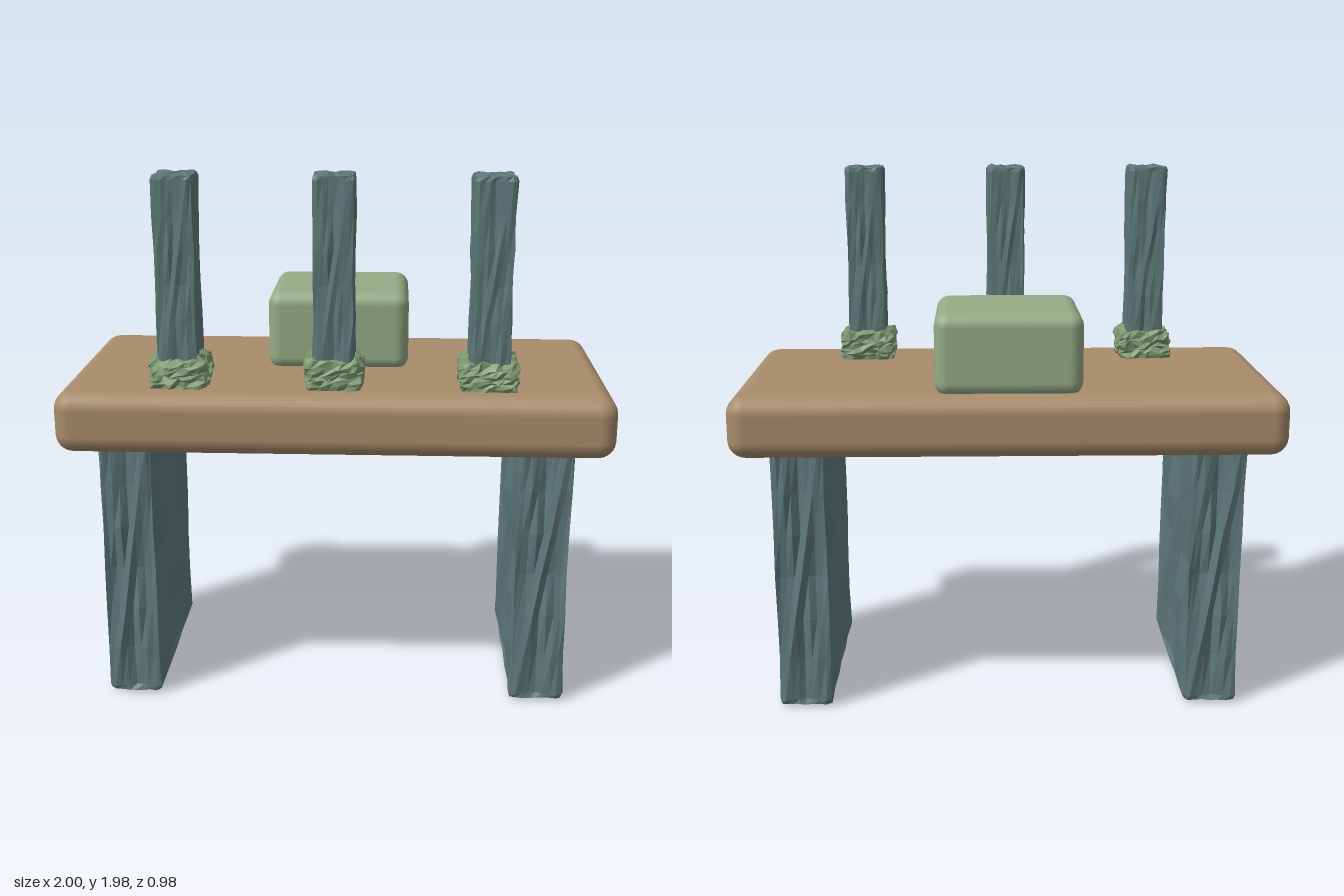
import * as THREE from 'three';
import { RoundedBoxGeometry } from 'three/addons/geometries/RoundedBoxGeometry.js';

const wood = new THREE.MeshStandardMaterial({ color: 0xa98c6b });
const green = new THREE.MeshStandardMaterial({ color: 0x95ab85 });
const moss = new THREE.MeshStandardMaterial({ color: 0x7f9a72, flatShading: true });
const slate = new THREE.MeshStandardMaterial({ color: 0x5f7a7a, flatShading: true });

// Repeatable value in -1..1 for a grid corner
function noise(a, b, c, seed) {
  const s = Math.sin(a * 12.99 + b * 78.23 + c * 37.72 + seed * 9.17) * 43758.55;
  return 2 * (s - Math.floor(s)) - 1;
}

// Rough hewn block: bevelled edges, faces sunk between ridges along the diagonals
function hewnBlock(w, h, d, { bevel, dent, rough, seed }) {
  const n = 8;
  const geo = new THREE.BoxGeometry(2, 2, 2, n, n, n);
  const pos = geo.attributes.position, nor = geo.attributes.normal;
  const half = [w / 2, h / 2, d / 2];
  for (let i = 0; i < pos.count; i++) {
    const t = [pos.getX(i), pos.getY(i), pos.getZ(i)];
    const normal = [nor.getX(i), nor.getY(i), nor.getZ(i)];
    // inner box point, pushed out by the bevel radius
    const core = t.map((v, k) => Math.max(-1, Math.min(1, v * n / (n - 2))) * (half[k] - bevel));
    const out = new THREE.Vector3(...t.map((v) => (Math.abs(v) > 0.99 ? Math.sign(v) : 0))).setLength(bevel);
    const p = new THREE.Vector3(...core).add(out);
    // sunken panels
    const axis = normal.findIndex((v) => Math.abs(v) > 0.5);
    const [u, v] = t.filter((_, k) => k !== axis).map(Math.abs);
    const sink = 4 * dent * (1 - Math.max(u, v)) * Math.abs(u - v);
    p.addScaledVector(new THREE.Vector3(...normal), -sink);
    // uneven surface
    const g = t.map((q) => Math.round(q * 4));
    p.x += rough * noise(g[0], g[1], g[2], seed);
    p.y += rough * noise(g[1], g[2], g[0], seed + 1);
    p.z += rough * noise(g[2], g[0], g[1], seed + 2);
    pos.setXYZ(i, p.x, p.y, p.z);
  }
  geo.computeVertexNormals();
  return geo;
}

export function createModel() {
  const model = new THREE.Group();
  model.name = 'altarTable';
  const add = (name, geo, mat, x, y, z) => {
    const mesh = new THREE.Mesh(geo, mat);
    mesh.name = name;
    mesh.position.set(x, y, z);
    model.add(mesh);
  };

  // Table slab and the block resting on it
  add('tableTop', new RoundedBoxGeometry(2, 0.225, 0.98, 3, 0.065), wood, 0, 1.112, 0);
  add('block', new RoundedBoxGeometry(0.53, 0.3, 0.495, 3, 0.05), green, 0, 1.36, -0.182);

  // Slab legs
  for (const side of [-1, 1]) {
    const leg = hewnBlock(0.205, 1.03, 0.775, { bevel: 0.025, dent: 0.025, rough: 0.003, seed: side + 3 });
    add(side > 0 ? 'leftLeg' : 'rightLeg', leg, slate, side * 0.766, 0.52, 0);
  }

  // Standing posts, each in a rough collar
  [-0.558, -0.003, 0.55].forEach((x, i) => {
    const post = hewnBlock(0.15, 0.77, 0.17, { bevel: 0.02, dent: 0.01, rough: 0.003, seed: i + 7 });
    add('post', post, slate, x, 1.597, 0.303);
    const collar = hewnBlock(0.21, 0.13, 0.205, { bevel: 0.03, dent: 0.005, rough: 0.009, seed: i + 20 });
    add('collar', collar, moss, x, 1.272, 0.3);
  });
  return model;
}
